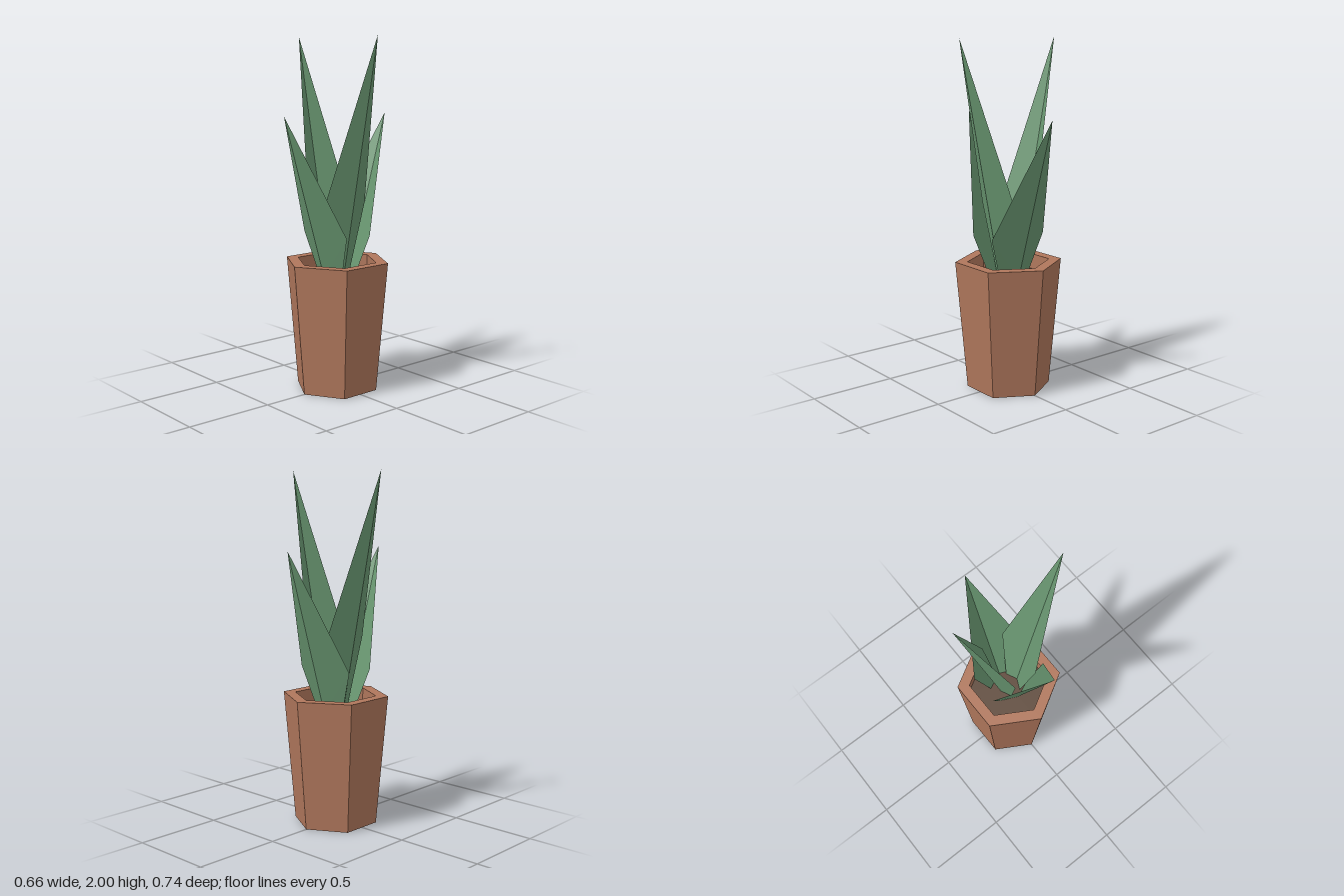
import * as THREE from 'three';

const pot = new THREE.MeshStandardMaterial({ color: 0xb0775c, flatShading: true });
pot.name = 'terracotta';
const earth = new THREE.MeshStandardMaterial({ color: 0x5f4a3b, flatShading: true });
earth.name = 'soil brown';
const green = new THREE.MeshStandardMaterial({ color: 0x6a9872, flatShading: true, side: THREE.DoubleSide });
green.name = 'leaf green';

const SIDES = 6;
const SOIL_Y = 0.656;

// Folded leaf leaning towards +z: two flat halves meeting at a straight ridge
function leafGeometry({ ridgeZ, tip, mid, base }) {
  const foot = [0, SOIL_Y, ridgeZ];
  const top = [0, ...tip];
  const points = [];
  for (const s of [1, -1]) {
    const m = [s * mid[0], mid[1], mid[2]];
    const b = [s * base[0], SOIL_Y, base[1]];
    const tris = s > 0 ? [foot, b, m, foot, m, top] : [foot, m, b, foot, top, m];
    points.push(...tris.flat());
  }
  const geometry = new THREE.BufferGeometry();
  geometry.setAttribute('position', new THREE.Float32BufferAttribute(points, 3));
  geometry.computeVertexNormals();
  return geometry;
}

export function createModel() {
  const model = new THREE.Group();
  model.name = 'pottedPlant';

  const add = (name, geometry, material) => {
    const mesh = new THREE.Mesh(geometry, material);
    mesh.name = name;
    model.add(mesh);
    return mesh;
  };

  // Tapered hexagonal pot with a thick rim and hollow mouth
  const profile = [[0, 0], [0.24, 0], [0.305, 0.745], [0.235, 0.745], [0.235, SOIL_Y - 0.01]];
  add('pot', new THREE.LatheGeometry(profile.map(([r, y]) => new THREE.Vector2(r, y)), SIDES), pot);

  // Soil surface
  const soil = add('soil', new THREE.CylinderGeometry(0.235, 0.235, 0.02, SIDES), earth);
  soil.position.y = SOIL_Y - 0.01;

  // Short leaves front and back, tall leaves left and right
  const shortLeaf = leafGeometry({ ridgeZ: 0.093, tip: [1.572, 0.369], mid: [0.185, 0.9, 0.085], base: [0.1, 0.048] });
  const tallLeaf = leafGeometry({ ridgeZ: 0.062, tip: [2, 0.332], mid: [0.149, 1.07, 0.071], base: [0.065, 0.031] });
  const leaves = ['frontLeaf', 'leftLeaf', 'backLeaf', 'rightLeaf'];
  leaves.forEach((name, i) => {
    const leaf = add(name, i % 2 ? tallLeaf : shortLeaf, green);
    leaf.rotation.y = (i * Math.PI) / 2;
  });

  return model;
}
